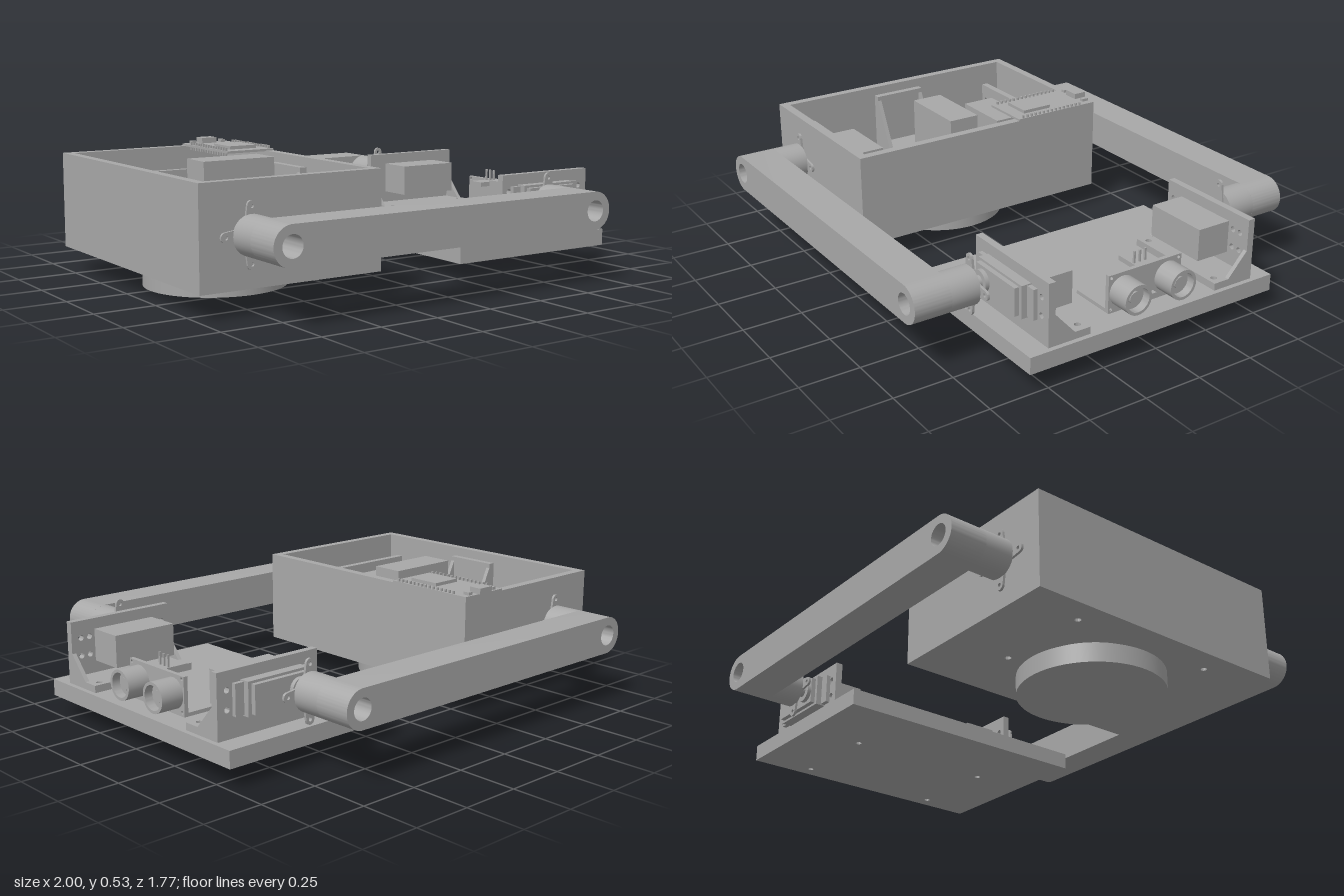
import * as THREE from 'three';
import { toCreasedNormals } from 'three/addons/utils/BufferGeometryUtils.js';

const grey = new THREE.MeshStandardMaterial({ color: 0xa8a8a8 });
grey.name = 'plain grey';

function add(parent, name, geo) {
  const m = new THREE.Mesh(geo, grey);
  m.name = name;
  parent.add(m);
  return m;
}

// Box given by two corners, in any order
function box(parent, name, x0, x1, y0, y1, z0, z1) {
  const m = add(parent, name, new THREE.BoxGeometry(Math.abs(x1 - x0), Math.abs(y1 - y0), Math.abs(z1 - z0)));
  m.position.set((x0 + x1) / 2, (y0 + y1) / 2, (z0 + z1) / 2);
  return m;
}

// Cylinder running along the given axis from a to b
function rod(parent, name, axis, r, a, b, u, v) {
  const g = new THREE.CylinderGeometry(r, r, Math.abs(b - a), 32);
  const c = (a + b) / 2;
  if (axis === 'x') g.rotateZ(Math.PI / 2).translate(c, u, v);
  if (axis === 'y') g.translate(u, c, v);
  if (axis === 'z') g.rotateX(Math.PI / 2).translate(u, v, c);
  return add(parent, name, g);
}

function hole(shape, x, y, r) {
  shape.holes.push(new THREE.Path().absarc(x, y, r, 0, Math.PI * 2, true));
}

function rectShape(x0, x1, y0, y1) {
  return new THREE.Shape([[x0, y0], [x1, y0], [x1, y1], [x0, y1]].map(p => new THREE.Vector2(...p)));
}

function discShape(x, y, r, inner) {
  const s = new THREE.Shape().absarc(x, y, r, 0, Math.PI * 2, false);
  if (inner) hole(s, x, y, inner);
  return s;
}

function extrude(shape, depth) {
  const g = new THREE.ExtrudeGeometry(shape, { depth, bevelEnabled: false, curveSegments: 20 });
  return toCreasedNormals(g, 0.6);
}

// Plate drawn in x,y and reaching from z = a to z = b
function plateZ(parent, name, shape, a, b) {
  return add(parent, name, extrude(shape, Math.abs(b - a)).translate(0, 0, Math.min(a, b)));
}

// Flat plate drawn in x,z and reaching from y0 to y1
function plateY(parent, name, shape, y0, y1) {
  return add(parent, name, extrude(shape, y1 - y0).rotateX(Math.PI / 2).translate(0, y1, 0));
}

// Plate drawn in z,y and reaching from x0 to x1
function plateX(parent, name, shape, x0, x1) {
  return add(parent, name, extrude(shape, x1 - x0).rotateY(-Math.PI / 2).translate(x1, 0, 0));
}

const AXIS_Y = 0.298;

// Servo on an angle bracket; its shaft is at x = px and points to the side s
function servoUnit(px, s, floorY) {
  const g = new THREE.Group();
  g.name = 'servoUnit';
  const x0 = px - 0.145, x1 = px + 0.335;

  // Bracket with window, screw holes, foot and end gussets
  const face = rectShape(x0, x1, floorY, 0.41);
  face.holes.push(new THREE.Path([[-0.06, 0.23], [-0.06, 0.365], [0.225, 0.365], [0.225, 0.23]]
    .map(([x, y]) => new THREE.Vector2(px + x, y))));
  for (const dx of [-0.11, 0.25, 0.29]) for (const dy of [-0.035, 0.04]) hole(face, px + dx, AXIS_Y + dy, 0.012);
  plateZ(g, 'bracketFace', face, s * 0.458, s * 0.488);
  const foot = rectShape(x0, x1, Math.min(s * 0.3, s * 0.46), Math.max(s * 0.3, s * 0.46));
  for (const dx of [0.04, 0.44]) hole(foot, x0 + dx, s * 0.33, 0.013);
  plateY(g, 'bracketFoot', foot, floorY, floorY + 0.03);
  for (const gx of [x0, x1 - 0.018]) {
    const tri = new THREE.Shape([[s * 0.46, floorY + 0.03], [s * 0.37, floorY + 0.03], [s * 0.46, floorY + 0.13]]
      .map(p => new THREE.Vector2(...p)));
    plateX(g, 'bracketGusset', tri, gx, gx + 0.018);
  }

  // Servo case, mounting tabs and gearbox
  box(g, 'servoCase', px - 0.06, px + 0.225, 0.23, 0.365, s * 0.305, s * 0.53);
  box(g, 'servoTabs', px - 0.1, px + 0.265, 0.235, 0.36, s * 0.488, s * 0.506);
  box(g, 'servoLid', px - 0.045, px + 0.21, 0.24, 0.355, s * 0.53, s * 0.55);
  rod(g, 'servoTurret', 'z', 0.045, s * 0.54, s * 0.567, px, AXIS_Y);
  rod(g, 'servoShaft', 'z', 0.024, s * 0.56, s * 0.612, px, AXIS_Y);

  // Four-armed horn
  for (let i = 0; i < 4; i++) {
    const arm = new THREE.Shape();
    arm.moveTo(0, -0.034).lineTo(0.108, -0.019);
    arm.absarc(0.108, 0, 0.019, -Math.PI / 2, Math.PI / 2, false);
    arm.lineTo(0, 0.034);
    hole(arm, 0.106, 0, 0.008);
    const m = add(g, 'hornArm', extrude(arm, 0.01));
    m.rotation.z = i * Math.PI / 2;
    m.position.set(px, AXIS_Y, s > 0 ? 0.601 : -0.611);
  }
  return g;
}

// Linking arm with round ends and a hollow boss at each pivot
function linkArm(s) {
  const g = new THREE.Group();
  g.name = 'linkArm';
  const r = 0.078, a = -0.79, b = 0.645;
  const bar = new THREE.Shape();
  bar.moveTo(a, AXIS_Y - r).lineTo(b, AXIS_Y - r);
  bar.absarc(b, AXIS_Y, r, -Math.PI / 2, Math.PI / 2, false);
  bar.lineTo(a, AXIS_Y + r);
  bar.absarc(a, AXIS_Y, r, Math.PI / 2, Math.PI * 1.5, false);
  for (const x of [a, b]) hole(bar, x, AXIS_Y, 0.043);
  plateZ(g, 'armBar', bar, s * 0.73, s * 0.885);
  for (const x of [a, b]) plateZ(g, 'armBoss', discShape(x, AXIS_Y, r, 0.043), s * 0.608, s * 0.73);
  return g;
}

// Open tray with a turntable below
function baseTray() {
  const g = new THREE.Group();
  g.name = 'baseTray';
  const rim = rectShape(-1, -0.21, -0.6, 0.6);
  rim.holes.push(new THREE.Path([[-0.963, -0.563], [-0.963, 0.563], [-0.247, 0.563], [-0.247, -0.563]]
    .map(p => new THREE.Vector2(...p))));
  plateY(g, 'trayWalls', rim, 0.1, 0.5);
  const floor = rectShape(-0.965, -0.245, -0.565, 0.565);
  for (const x of [-0.895, -0.495]) for (const z of [-0.33, 0.33]) hole(floor, x, z, 0.013);
  plateY(g, 'trayFloor', floor, 0.1, 0.14);
  const neck = rod(g, 'turntableNeck', 'y', 0.255, 0.07, 0.105, -0.605, 0);
  neck.geometry = new THREE.CylinderGeometry(0.255, 0.255, 0.035, 64).translate(-0.605, 0.0875, 0);
  add(g, 'turntable', new THREE.CylinderGeometry(0.295, 0.295, 0.078, 64).translate(-0.605, 0.039, 0));
  return g;
}

// Upright servo in a cradle that turns the base
function turningServo() {
  const g = new THREE.Group();
  g.name = 'turningServo';
  const deck = rectShape(-0.963, -0.247, -0.11, 0.128);
  for (const x of [-0.73, -0.69, -0.33]) for (const z of [-0.035, 0.045]) hole(deck, x, z, 0.014);
  plateY(g, 'cradleDeck', deck, 0.2, 0.23);
  for (const [x, d] of [[-0.963, 1], [-0.247, -1]]) {
    box(g, 'cradleEnd', x, x + d * 0.03, 0.14, 0.46, -0.11, 0.128);
    for (const z of [-0.11, 0.11]) {
      const tri = new THREE.Shape([[x + d * 0.03, 0.23], [x + d * 0.13, 0.23], [x + d * 0.03, 0.44]]
        .map(p => new THREE.Vector2(...p)));
      plateZ(g, 'cradleGusset', tri, z, z + 0.018);
    }
  }
  box(g, 'servoCase', -0.69, -0.365, 0.15, 0.505, -0.07, 0.07);
  box(g, 'servoTabs', -0.74, -0.315, 0.23, 0.25, -0.065, 0.065);
  rod(g, 'servoShaft', 'y', 0.03, 0.1, 0.16, -0.605, 0);
  return g;
}

// Controller board on the tray rim
function controllerBoard() {
  const g = new THREE.Group();
  g.name = 'controllerBoard';
  box(g, 'board', -0.435, -0.21, 0.498, 0.508, -0.6, -0.19);
  box(g, 'chip', -0.39, -0.26, 0.508, 0.522, -0.39, -0.25);
  box(g, 'usbSocket', -0.36, -0.288, 0.508, 0.532, -0.608, -0.552);
  for (const x of [-0.395, -0.25]) box(g, 'button', x - 0.01, x + 0.01, 0.508, 0.52, -0.59, -0.56);
  for (const x of [-0.427, -0.218]) for (let i = 0; i < 15; i++) {
    const z = -0.525 + i * 0.022;
    box(g, 'headerPin', x - 0.005, x + 0.005, 0.485, 0.52, z - 0.004, z + 0.004);
  }
  return g;
}

// Twin-barrel distance sensor on its holder
function distanceSensor() {
  const g = new THREE.Group();
  g.name = 'distanceSensor';
  const c = -0.014;
  box(g, 'holderFoot', 0.7, 0.9, 0.15, 0.165, c - 0.17, c + 0.17);
  const board = rectShape(c - 0.175, c + 0.175, 0.155, 0.312);
  for (const dz of [-0.162, 0.162]) for (const y of [0.168, 0.3]) hole(board, c + dz, y, 0.007);
  plateX(g, 'sensorBoard', board, 0.885, 0.903);
  for (const z of [c - 0.108, c + 0.108]) {
    plateX(g, 'barrel', discShape(z, 0.235, 0.062, 0.05), 0.903, 1);
    rod(g, 'barrelMesh', 'x', 0.051, 0.903, 0.965, 0.235, z);
    rod(g, 'barrelCentre', 'x', 0.025, 0.965, 0.98, 0.235, z);
  }
  box(g, 'crystal', 0.903, 0.925, 0.168, 0.192, c - 0.04, c + 0.04);
  box(g, 'pinHeader', 0.78, 0.885, 0.29, 0.31, c - 0.035, c + 0.035);
  for (let i = -1; i <= 1; i++) box(g, 'headerPin', 0.86, 0.868, 0.3, 0.36, c + i * 0.026 - 0.004, c + i * 0.026 + 0.004);
  return g;
}

export function createModel() {
  const model = new THREE.Group();
  model.name = 'armLinkedRover';
  model.add(baseTray(), turningServo(), controllerBoard(), distanceSensor());
  // Moving platform
  const deck = rectShape(0.2, 1, -0.58, 0.58);
  for (const x of [0.54, 0.94]) for (const z of [-0.33, 0.33]) hole(deck, x, z, 0.013);
  plateY(model, 'platform', deck, 0.08, 0.15);
  // Both sides
  for (const s of [1, -1]) {
    model.add(servoUnit(-0.79, s, 0.14), servoUnit(0.645, s, 0.15), linkArm(s));
  }
  return model;
}
